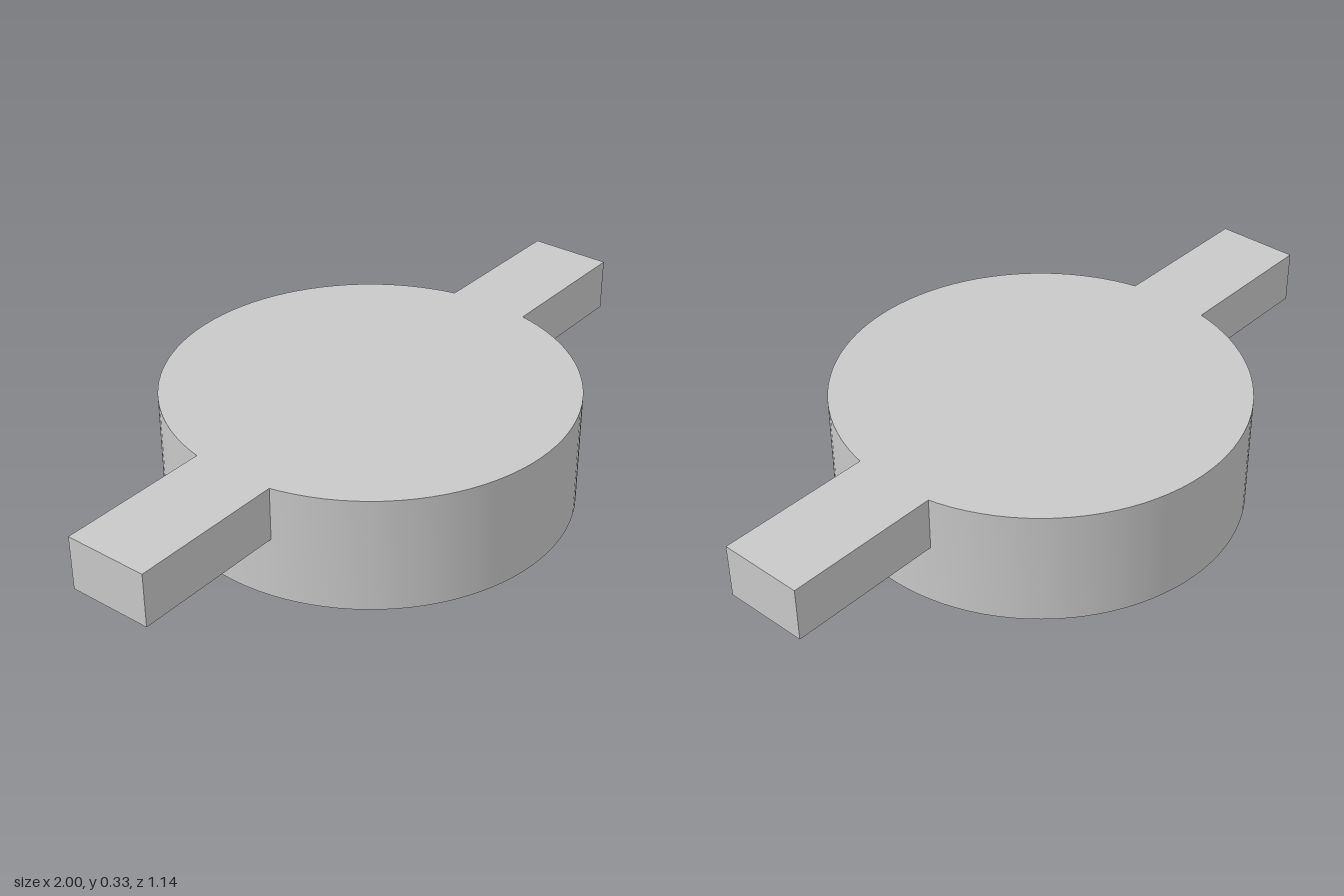
import * as THREE from 'three';
import { toCreasedNormals } from 'three/addons/utils/BufferGeometryUtils.js';

const RADIUS = 0.57, INNER = 0.51, HEIGHT = 0.33, CEILING = 0.285;
const ARM_BOTTOM = 0.177, ARM_HALF = 0.12, ARM_END = 1;

export function createModel() {
  const group = new THREE.Group();
  const grey = new THREE.MeshStandardMaterial({ color: 0xc8c8c8 });
  grey.name = 'grey';

  // Round cap, hollow from below
  const profile = [
    [0, CEILING], [INNER, CEILING], [INNER, 0],
    [RADIUS, 0], [RADIUS, HEIGHT], [0, HEIGHT],
  ].map(([x, y]) => new THREE.Vector2(x, y));
  const cap = new THREE.Mesh(toCreasedNormals(new THREE.LatheGeometry(profile, 96), 0.5), grey);
  cap.name = 'cap';
  group.add(cap);

  // Side arms, their inner ends curved to sit against the cap wall
  const root = RADIUS - 0.005;
  const angle = Math.asin(ARM_HALF / root);
  const outline = new THREE.Shape();
  outline.moveTo(ARM_END, -ARM_HALF);
  outline.lineTo(ARM_END, ARM_HALF);
  outline.lineTo(root * Math.cos(angle), ARM_HALF);
  outline.absarc(0, 0, root, angle, -angle, true);
  outline.closePath();
  const armGeometry = new THREE.ExtrudeGeometry(outline, {
    depth: HEIGHT - ARM_BOTTOM, bevelEnabled: false, curveSegments: 12,
  });
  armGeometry.rotateX(-Math.PI / 2);
  armGeometry.translate(0, ARM_BOTTOM, 0);

  ['leftArm', 'rightArm'].forEach((name, i) => {
    const arm = new THREE.Mesh(armGeometry, grey);
    arm.name = name;
    arm.rotation.y = i * Math.PI;
    group.add(arm);
  });

  return group;
}
